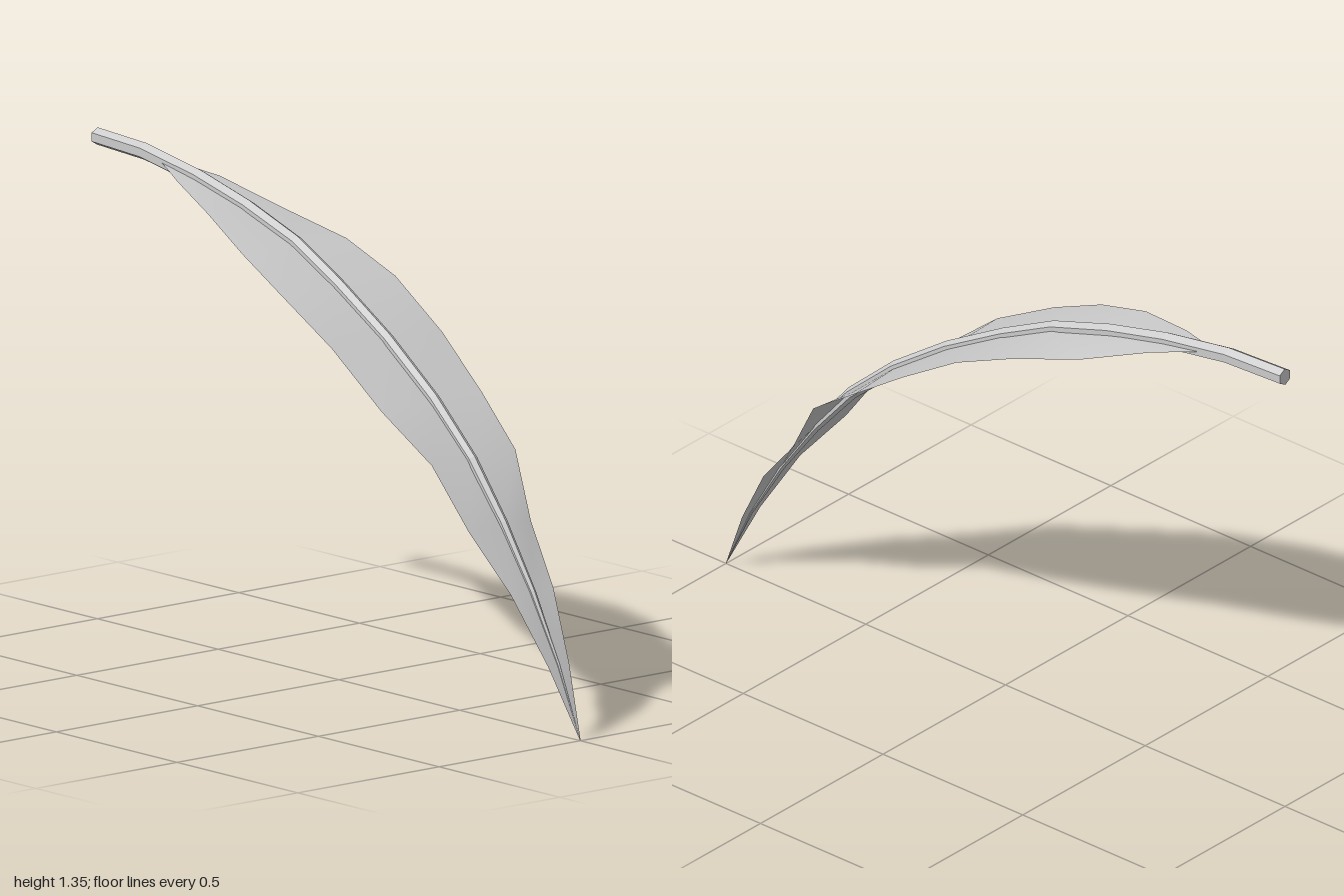
import * as THREE from 'three';

// Midrib curve from stalk to tip: z, y, rib radius
const rib = [
  [-1, 1.33, 0.024], [-0.8, 1.321, 0.024], [-0.58, 1.285, 0.024], [-0.38, 1.237, 0.023],
  [-0.18, 1.173, 0.022], [0, 1.084, 0.021], [0.2, 0.97, 0.02], [0.39, 0.838, 0.019],
  [0.55, 0.698, 0.017], [0.68, 0.545, 0.014], [0.8, 0.378, 0.01], [0.91, 0.193, 0.005], [1, 0, 0.0005],
];

// Blade rows: z, y, half width, edge lift on the right (-x), edge lift on the left (+x)
const blade = [
  [-0.72, 1.31, 0.016, 0, 0], [-0.58, 1.285, 0.075, 0, -0.005], [-0.38, 1.237, 0.14, 0.003, -0.025],
  [-0.18, 1.173, 0.185, -0.006, -0.015], [0, 1.084, 0.2, 0, 0], [0.2, 0.97, 0.198, 0.005, -0.008],
  [0.39, 0.838, 0.177, -0.012, -0.008], [0.55, 0.698, 0.146, 0.008, 0.014], [0.68, 0.545, 0.112, -0.015, -0.02],
  [0.8, 0.378, 0.075, 0, 0], [0.91, 0.193, 0.037, 0, 0], [1, 0, 0.001, 0, 0],
];

// Joins rows of equal length into a sheet, optionally closing each row into a ring
function loft(rows, closed) {
  const n = rows[0].length, index = [];
  for (let i = 0; i < rows.length - 1; i++) {
    for (let k = 0; k < (closed ? n : n - 1); k++) {
      const a = i * n + k, c = i * n + (k + 1) % n;
      index.push(a, a + n, c, c, a + n, c + n);
    }
  }
  const geometry = new THREE.BufferGeometry().setFromPoints(rows.flat());
  geometry.setIndex(index);
  geometry.computeVertexNormals();
  return geometry;
}

// Unit normal of the curve in the yz plane, pointing up and forward
function normalAt(points, i) {
  const p = points[Math.max(i - 1, 0)], q = points[Math.min(i + 1, points.length - 1)];
  return new THREE.Vector3(0, q[0] - p[0], p[1] - q[1]).normalize();
}

export function createModel() {
  const group = new THREE.Group();
  group.name = 'leaf';

  // Six-sided tapering stem running along the whole leaf
  const rings = rib.map(([z, y, r], i) => {
    const normal = normalAt(rib, i);
    return Array.from({ length: 6 }, (_, k) => {
      const a = k * Math.PI / 3;
      return new THREE.Vector3(Math.sin(a) * r, y, z).addScaledVector(normal, Math.cos(a) * r);
    });
  });
  // Collapsed first ring closes the cut end of the stalk
  rings.unshift(rings[0].map(() => new THREE.Vector3(0, rib[0][1], rib[0][0])));
  const stem = new THREE.Mesh(loft(rings, true),
    new THREE.MeshStandardMaterial({ color: 0xcccccc, flatShading: true }));
  stem.name = 'stem';

  // Thin blade with gently waving edges
  const rows = blade.map(([z, y, w, right, left], i) => {
    const normal = normalAt(blade, i);
    return [[-w, right], [0, 0], [w, left]].map(([x, lift]) =>
      new THREE.Vector3(x, y, z).addScaledVector(normal, lift));
  });
  const leafBlade = new THREE.Mesh(loft(rows, false),
    new THREE.MeshStandardMaterial({ color: 0xcccccc, side: THREE.DoubleSide }));
  leafBlade.name = 'blade';

  group.add(stem, leafBlade);
  return group;
}
